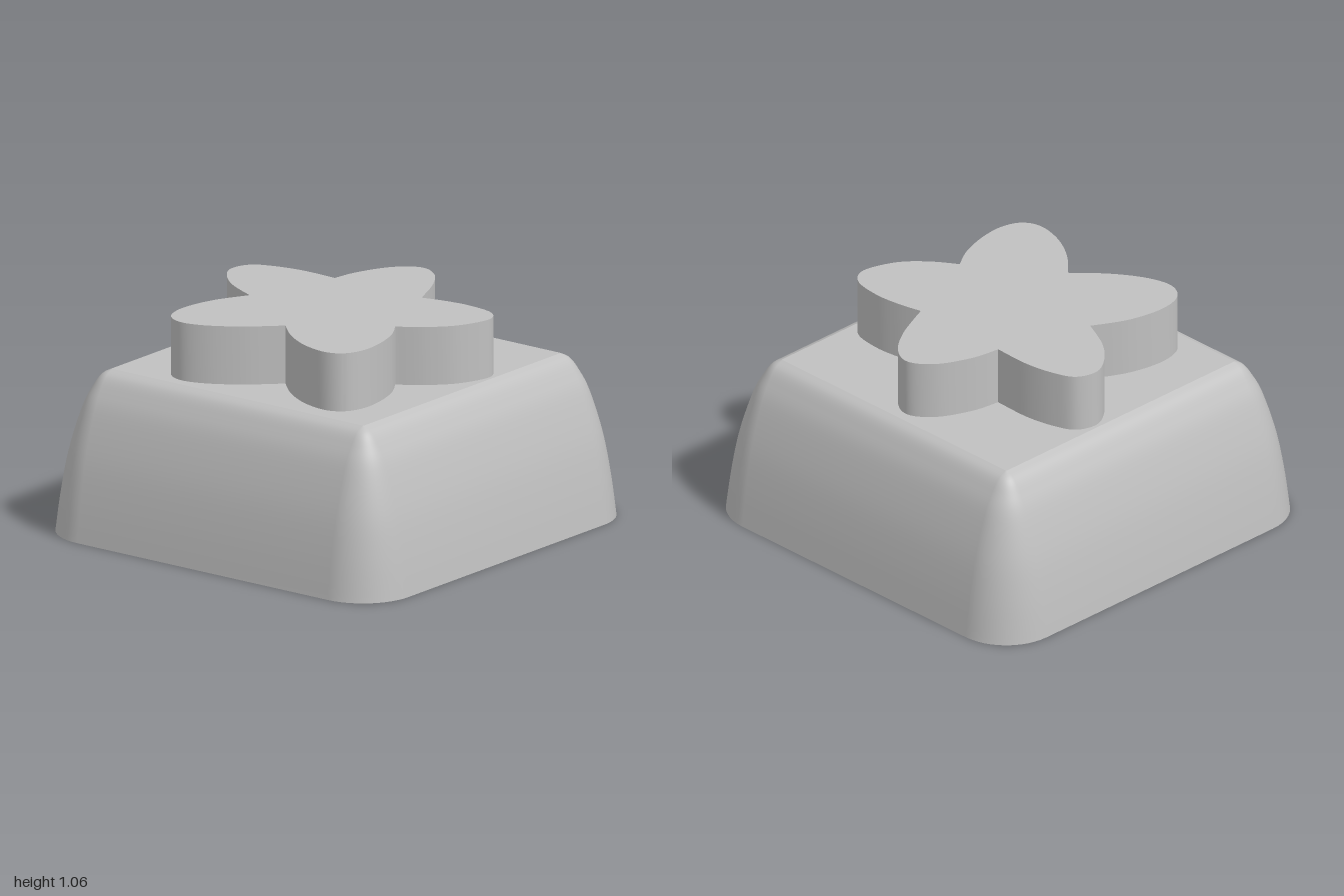
import * as THREE from 'three';
import { toCreasedNormals } from 'three/addons/utils/BufferGeometryUtils.js';

const TOP = 0.78;      // height of the cap's flat top
const CORE = 0.735;    // distance of the corner centres from the axes
const RIM = 0.825;     // half width of the opening underneath
const CEILING = 0.675; // half width of the cavity ceiling
const DEPTH = 0.46;    // cavity depth

// Outline of a square with rounded corners, as [x, z] pairs
function roundedSquare(radius, steps = 12) {
  const points = [];
  for (let c = 0; c < 4; c++) {
    const mid = Math.PI / 4 + c * Math.PI / 2;
    const cx = Math.sign(Math.cos(mid)) * CORE, cz = Math.sign(Math.sin(mid)) * CORE;
    for (let i = 0; i <= steps; i++) {
      const a = (c + i / steps) * Math.PI / 2;
      points.push(new THREE.Vector2(cx + radius * Math.cos(a), cz + radius * Math.sin(a)));
    }
  }
  return points;
}

// Curved sides: rounded squares that shrink towards the top
function sidesGeometry() {
  const profile = new THREE.SplineCurve([
    [1, 0], [0.974, 0.2], [0.936, 0.4], [0.875, 0.6], [0.825, 0.7], [0.785, 0.755], [0.74, TOP],
  ].map(p => new THREE.Vector2(...p))).getPoints(28);
  const positions = [], index = [];
  let n = 0;
  profile.forEach((p, row) => {
    const ring = roundedSquare(p.x - CORE);
    n = ring.length;
    ring.forEach(q => positions.push(q.x, p.y, q.y));
    if (row === 0) return;
    for (let i = 0; i < n; i++) {
      const a = (row - 1) * n + i, b = (row - 1) * n + (i + 1) % n;
      index.push(a, a + n, b, b, a + n, b + n);
    }
  });
  const g = new THREE.BufferGeometry();
  g.setAttribute('position', new THREE.Float32BufferAttribute(positions, 3));
  g.setIndex(index);
  g.computeVertexNormals();
  return g;
}

// Flat shape extruded upwards; shape y points to the back
function extrudeUp(shape, height, y) {
  const g = new THREE.ExtrudeGeometry(shape, { depth: height, bevelEnabled: false, curveSegments: 48 });
  g.rotateX(-Math.PI / 2).translate(0, y, 0);
  return toCreasedNormals(g, 0.5);
}

export function createModel() {
  const model = new THREE.Group();
  model.name = 'keycap';
  const grey = new THREE.MeshStandardMaterial({ color: 0xc0c0c0 });
  grey.name = 'plain grey';
  const add = (name, geometry) => {
    const mesh = new THREE.Mesh(geometry, grey);
    mesh.name = name;
    model.add(mesh);
  };

  // Outer shell
  add('sides', sidesGeometry());
  add('topFace', new THREE.ShapeGeometry(new THREE.Shape(roundedSquare(0.005)))
    .rotateX(-Math.PI / 2).translate(0, TOP, 0));

  // Bottom rim with a square opening
  const rim = new THREE.Shape(roundedSquare(1 - CORE));
  rim.holes.push(new THREE.Path([[-1, -1], [-1, 1], [1, 1], [1, -1]]
    .map(([x, y]) => new THREE.Vector2(x * RIM, y * RIM))));
  add('bottomRim', new THREE.ShapeGeometry(rim).rotateX(Math.PI / 2));

  // Tapered cavity, facing inwards
  let walls = new THREE.CylinderGeometry(CEILING * Math.SQRT2, RIM * Math.SQRT2, DEPTH, 4, 1, true)
    .rotateY(Math.PI / 4).translate(0, DEPTH / 2, 0).scale(-1, 1, 1).toNonIndexed();
  walls.computeVertexNormals();
  add('cavityWalls', walls);
  add('cavityCeiling', new THREE.PlaneGeometry(CEILING * 2, CEILING * 2)
    .rotateX(Math.PI / 2).translate(0, DEPTH, 0));

  // Round stem with a cross-shaped socket
  const stem = new THREE.Shape().absarc(0, 0, 0.31, 0, Math.PI * 2, false);
  const a = 0.23, b = 0.072;
  stem.holes.push(new THREE.Path([
    [a, b], [a, -b], [b, -b], [b, -a], [-b, -a], [-b, -b],
    [-a, -b], [-a, b], [-b, b], [-b, a], [b, a], [b, b],
  ].map(p => new THREE.Vector2(...p))));
  add('stem', extrudeUp(stem, DEPTH, 0));

  // Five-petalled flower; each petal runs from notch to notch, as [x, z]
  const petals = [
    [[-0.25, -0.31], [-0.225, -0.45], [-0.15, -0.61], [-0.04, -0.69], [0.07, -0.645], [0.17, -0.51], [0.26, -0.31]],
    [[0.26, -0.31], [0.39, -0.338], [0.52, -0.347], [0.66, -0.32], [0.72, -0.23], [0.67, -0.07], [0.57, 0.045], [0.45, 0.13]],
    [[0.45, 0.13], [0.515, 0.24], [0.558, 0.38], [0.568, 0.51], [0.53, 0.61], [0.44, 0.65], [0.3, 0.62], [0.16, 0.54], [0.04, 0.43]],
    [[0.04, 0.43], [-0.1, 0.56], [-0.25, 0.655], [-0.38, 0.685], [-0.475, 0.63], [-0.508, 0.5], [-0.475, 0.32], [-0.39, 0.15]],
    [[-0.39, 0.15], [-0.55, 0.07], [-0.66, -0.025], [-0.72, -0.13], [-0.69, -0.235], [-0.59, -0.285], [-0.44, -0.313], [-0.25, -0.31]],
  ];
  const flower = new THREE.Shape();
  flower.moveTo(petals[0][0][0], -petals[0][0][1]);
  for (const petal of petals) {
    flower.splineThru(petal.slice(1).map(([x, z]) => new THREE.Vector2(x, -z)));
  }
  // Few points per span are enough here
  const outline = new THREE.Shape(flower.getPoints(8));
  add('flower', extrudeUp(outline, 1.06 - TOP, TOP));

  return model;
}
